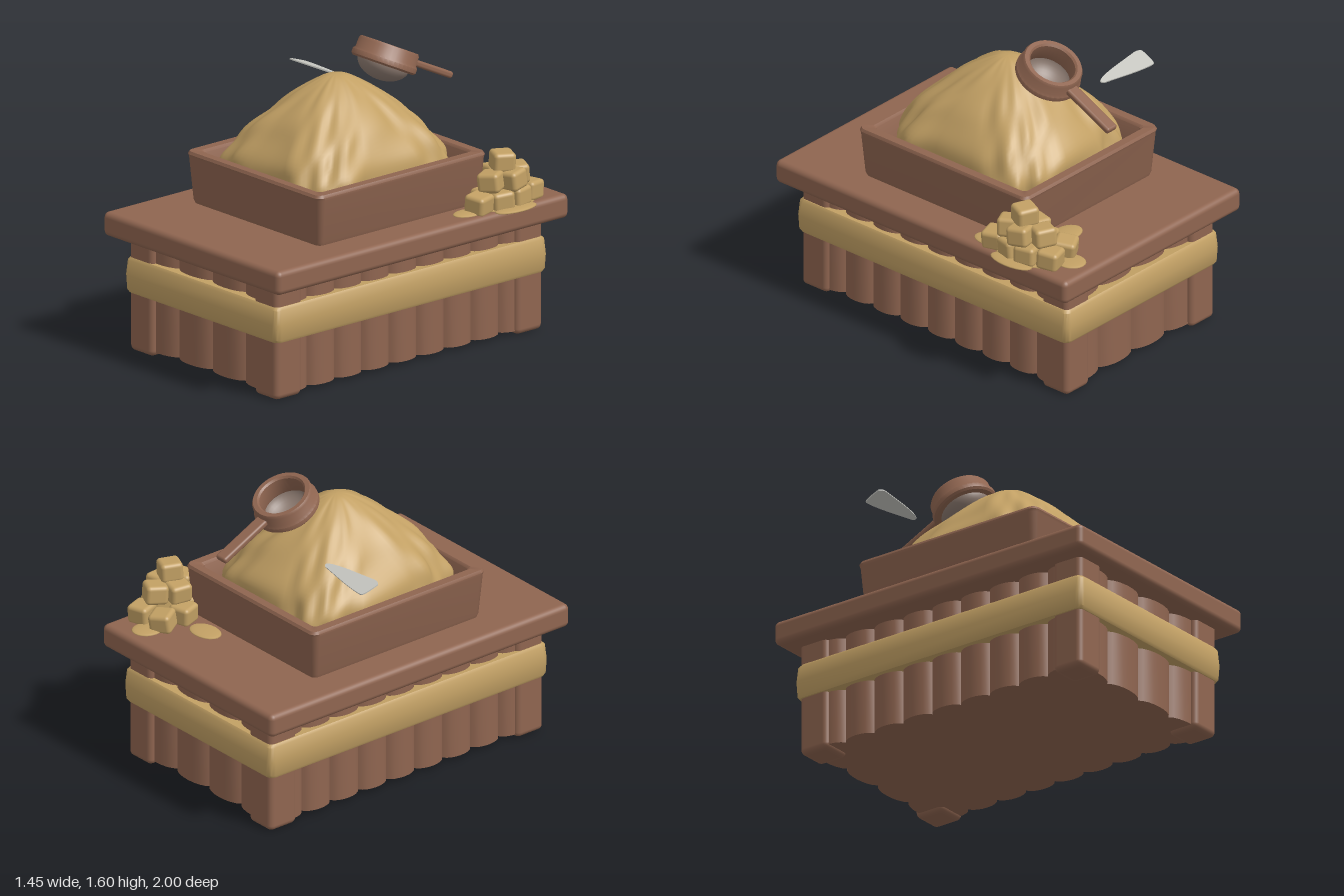
import * as THREE from 'three';
import { toCreasedNormals } from 'three/addons/utils/BufferGeometryUtils.js';
import { RoundedBoxGeometry } from 'three/addons/geometries/RoundedBoxGeometry.js';

const mat = (name, color, side = THREE.FrontSide) => {
  const m = new THREE.MeshStandardMaterial({ color, side });
  m.name = name;
  return m;
};

// Surface through rings of equal point count, listed from the bottom up
function loft(rings) {
  const n = rings[0].length, pos = rings.flat(2), index = [];
  for (let i = 0; i < rings.length - 1; i++) {
    for (let j = 0; j < n; j++) {
      const a = i * n + j, b = i * n + (j + 1) % n;
      index.push(a, a + n, b, b, a + n, b + n);
    }
  }
  const g = new THREE.BufferGeometry();
  g.setAttribute('position', new THREE.Float32BufferAttribute(pos, 3));
  g.setIndex(index);
  g.computeVertexNormals();
  return g;
}

// Rounded rectangle ring at height y
function rectRing(hx, hz, y, r) {
  const ring = [];
  for (let c = 0; c < 4; c++) {
    const sx = c === 0 || c === 3 ? 1 : -1, sz = c < 2 ? 1 : -1;
    for (let k = 0; k <= 4; k++) {
      const a = (c + k / 4) * Math.PI / 2;
      ring.push([sx * (hx - r) + r * Math.cos(a), y, sz * (hz - r) + r * Math.sin(a)]);
    }
  }
  return ring;
}

// Plan outline of the base with a row of bulging planks on each side
function plankOutline(hx, hz, bulge, nx, nz) {
  const s = new THREE.Shape().moveTo(-hx, -hz);
  const side = (x0, y0, x1, y1, n, ox, oy) => {
    for (let i = 0; i < n; i++) {
      const at = t => [x0 + (x1 - x0) * t, y0 + (y1 - y0) * t];
      const [ax, ay] = at((i + 0.15) / n), [bx, by] = at((i + 0.85) / n), [ex, ey] = at((i + 1) / n);
      s.bezierCurveTo(ax + ox * bulge, ay + oy * bulge, bx + ox * bulge, by + oy * bulge, ex, ey);
    }
  };
  side(-hx, -hz, hx, -hz, nx, 0, -1);
  side(hx, -hz, hx, hz, nz, 1, 0);
  side(hx, hz, -hx, hz, nx, 0, 1);
  side(-hx, hz, -hx, -hz, nz, -1, 0);
  return s;
}

export function createModel() {
  const wood = mat('brown wood', 0x8f6550);
  const sand = mat('golden sand', 0xc2a064);
  const gauze = mat('sieve gauze', 0x8c7a70, THREE.DoubleSide);
  const steel = mat('pale steel', 0xc6c6c0, THREE.DoubleSide);

  const model = new THREE.Group();
  model.name = 'sandTable';
  const add = (name, geo, material, x = 0, y = 0, z = 0, parent = model) => {
    const m = new THREE.Mesh(geo, material);
    m.name = name;
    m.position.set(x, y, z);
    parent.add(m);
    return m;
  };
  const box = (w, h, d, r) => new RoundedBoxGeometry(w, h, d, 3, r);
  const cx = -0.025;

  // Table: top, legs, planked base and cloth band
  add('tableTop', box(1.37, 0.13, 2, 0.03), wood, cx, 0.675, 0);
  for (const sx of [-1, 1]) for (const sz of [-1, 1]) {
    add('leg', box(0.18, 0.64, 0.18, 0.03), wood, cx + sx * 0.485, 0.32, sz * 0.825);
  }
  const base = new THREE.ExtrudeGeometry(plankOutline(0.515, 0.845, 0.055, 4, 9),
    { depth: 0.6, bevelEnabled: false, curveSegments: 8 }).rotateX(-Math.PI / 2);
  add('plankedBase', toCreasedNormals(base, 0.5), wood, cx, 0.02, 0);

  const bandRings = [[0.585, 0.315, 0.92], [0.592, 0.33, 0.93], [0.597, 0.41, 0.933],
    [0.59, 0.49, 0.927], [0.58, 0.505, 0.915]].map(([hx, y, hz]) => rectRing(hx, hz, y, 0.035));
  bandRings.unshift(rectRing(0.5, 0.83, 0.318, 0.03));
  bandRings.push(rectRing(0.5, 0.83, 0.5, 0.03));
  add('clothBand', toCreasedNormals(loft(bandRings), 0.7), sand, cx, 0, 0);

  // Open tray with sloping walls
  const trayRings = [[0.49, 0.55, 0.735, 0.03], [0.498, 0.558, 0.76, 0.03], [0.52, 0.575, 0.99, 0.04],
    [0.523, 0.58, 1.005, 0.04], [0.515, 0.572, 1.02, 0.035], [0.468, 0.528, 1.02, 0.025],
    [0.455, 0.516, 1.008, 0.02], [0.435, 0.495, 0.85, 0.02], [0, 0, 0.85, 0]]
    .map(([hx, hz, y, r]) => rectRing(hx, hz, y, r));
  add('tray', toCreasedNormals(loft(trayRings), 0.7), wood, cx, 0, -0.003);

  // Heaped sand: square at the foot, round at the peak, with soft folds
  const heap = new THREE.SplineCurve([[1, 0.86], [1, 0.96], [0.97, 1.03], [0.89, 1.105], [0.76, 1.19],
    [0.6, 1.27], [0.42, 1.345], [0.25, 1.4], [0.11, 1.433], [0, 1.44]].map(p => new THREE.Vector2(...p)));
  const pileRings = heap.getPoints(36).map(({ x: s, y }) => {
    const ring = [], e = 2 / (2 + 2.2 * s * s);
    for (let j = 0; j < 96; j++) {
      const a = j / 96 * Math.PI * 2, c = Math.cos(a), d = Math.sin(a);
      const fold = 1 + 0.022 * Math.sin(7 * a + 5 * y) + 0.018 * Math.sin(13 * a - 9 * y)
        + 0.012 * Math.sin(4 * a + 31 * y) + 0.01 * Math.sin(19 * a + 22 * y) - 0.02;
      const r = s * fold;
      ring.push([0.455 * r * Math.sign(c) * Math.abs(c) ** e, y, 0.515 * r * Math.sign(d) * Math.abs(d) ** e]);
    }
    return ring;
  });
  add('sandPile', loft(pileRings), sand, cx, 0, 0);

  // Stack of sand cubes
  let seed = 7;
  const rand = () => (seed = (seed * 16807) % 2147483647) / 2147483647 - 0.5;
  const stack = new THREE.Group();
  stack.name = 'cubeStack';
  model.add(stack);
  const cubes = [[0.42, 0.785, -0.79], [0.56, 0.785, -0.81], [0.42, 0.785, -0.65], [0.6, 0.785, -0.69],
    [0.6, 0.785, -0.58], [0.58, 0.785, -0.45], [0.5, 0.785, -0.54], [0.54, 0.885, -0.74],
    [0.61, 0.885, -0.65], [0.57, 0.885, -0.54], [0.48, 0.885, -0.64], [0.555, 0.975, -0.63]];
  for (const [x, y, z] of cubes) {
    add('sandCube', box(0.12, 0.105, 0.12, 0.022), sand, x, y, z, stack)
      .rotation.set(rand() * 0.25, rand() * 1.2, rand() * 0.25);
  }

  // Spilled sand patches around the stack
  for (const [x, z, rx, rz] of [[0.25, -0.645, 0.1, 0.07], [0.66, -0.63, 0.06, 0.135],
    [0.46, -0.86, 0.075, 0.085], [0.56, -0.39, 0.06, 0.09], [0.54, -0.64, 0.13, 0.2]]) {
    add('spilledSand', new THREE.SphereGeometry(1, 20, 10), sand, x, 0.741, z, stack).scale.set(rx, 0.012, rz);
  }

  // Tilted sieve hovering above the heap
  const sieve = new THREE.Group();
  sieve.name = 'sieve';
  sieve.position.set(0.007, 1.48, -0.317);
  sieve.rotation.x = -0.45;
  model.add(sieve);
  const lathe = pts => new THREE.LatheGeometry(pts.map(p => new THREE.Vector2(...p)), 40);
  add('sieveRim', toCreasedNormals(lathe([[0.13, -0.055], [0.165, -0.055], [0.175, -0.045], [0.175, -0.02],
    [0.165, -0.008], [0.163, 0.042], [0.155, 0.055], [0.132, 0.055], [0.123, 0.045], [0.123, -0.045],
    [0.13, -0.055]]), 0.7), wood, 0, 0, 0, sieve);
  const bowl = [];
  for (let i = 0; i <= 10; i++) {
    const a = i / 10 * Math.PI / 2;
    bowl.push([0.14 * Math.sin(a), -0.04 - 0.095 * Math.cos(a)]);
  }
  add('sieveBowl', lathe(bowl), gauze, 0, 0, 0, sieve);
  add('sieveHandle', box(0.075, 0.036, 0.33, 0.014), wood, 0, 0.008, -0.307, sieve);

  // Hovering scraper blade, tapering towards the heap
  const blade = new THREE.Shape().moveTo(-0.185, -0.045);
  blade.quadraticCurveTo(-0.17, -0.062, -0.14, -0.06);
  blade.lineTo(0.02, -0.042).quadraticCurveTo(0.16, -0.025, 0.183, -0.005);
  blade.quadraticCurveTo(0.19, 0.015, 0.15, 0.018);
  blade.lineTo(0.02, 0.04).quadraticCurveTo(-0.12, 0.062, -0.165, 0.058);
  blade.quadraticCurveTo(-0.182, 0.05, -0.185, -0.045);
  const bladeGeo = new THREE.ExtrudeGeometry(blade, { depth: 0.007, bevelEnabled: false, curveSegments: 8 })
    .rotateX(-Math.PI / 2);
  add('scraperBlade', toCreasedNormals(bladeGeo, 0.6), steel, -0.541, 1.266, -0.342).rotation.x = -0.33;

  return model;
}
